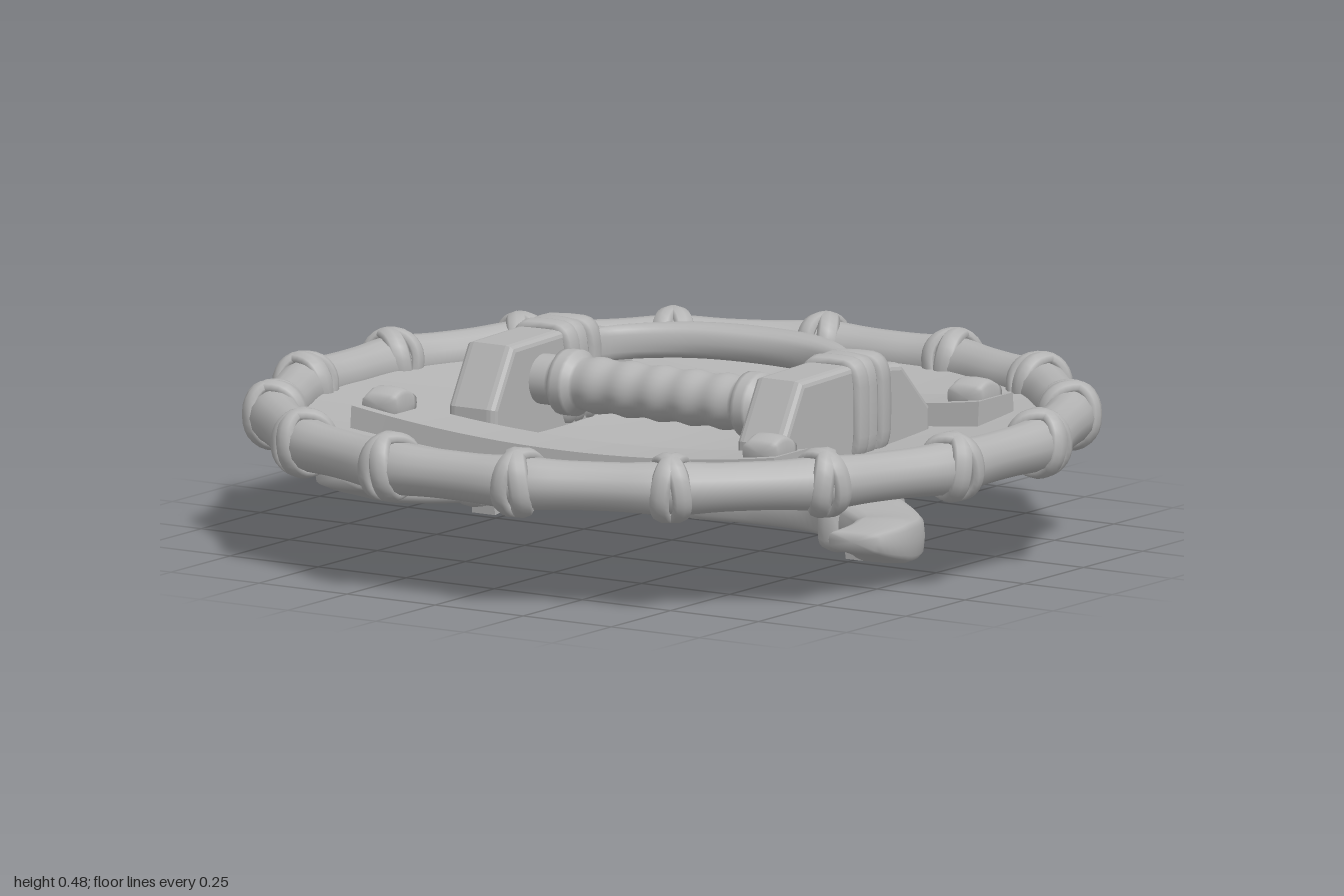
import * as THREE from 'three';
import { mergeVertices } from 'three/addons/utils/BufferGeometryUtils.js';

const grey = new THREE.MeshStandardMaterial({ color: 0xb4b4b4, side: THREE.DoubleSide });
grey.name = 'plain grey';

const V = (x, y, z) => new THREE.Vector3(x, y, z);
const pw = (v, e) => Math.sign(v) * Math.pow(Math.abs(v), e);

function add(parent, name, geometry, x = 0, y = 0, z = 0) {
  const m = new THREE.Mesh(geometry, grey);
  m.name = name;
  m.position.set(x, y, z);
  parent.add(m);
  return m;
}

// Apply fn to every vertex, optionally welding the seams for smooth normals
function warp(geo, fn, weld = true) {
  if (weld) {
    geo.deleteAttribute('uv');
    geo.deleteAttribute('normal');
  }
  const p = geo.attributes.position, v = V(0, 0, 0);
  for (let i = 0; i < p.count; i++) {
    fn(v.fromBufferAttribute(p, i));
    p.setXYZ(i, v.x, v.y, v.z);
  }
  if (weld) geo = mergeVertices(geo, 1e-4);
  geo.computeVertexNormals();
  return geo;
}

// Rounded-square section swept along a path; size(t) gives [half width, half height]
function sweep(points, size, e = 0.7, n = 32, m = 16) {
  const curve = new THREE.CatmullRomCurve3(points), pos = [], idx = [];
  for (let i = 0; i <= n + 2; i++) {
    const t = Math.min(Math.max((i - 1) / n, 0), 1);
    const cap = i === 0 || i === n + 2 ? 0 : 1;
    const c = curve.getPoint(t), T = curve.getTangent(t);
    const S = V(0, 1, 0).cross(T).normalize(), [w, h] = size(t);
    for (let j = 0; j < m; j++) {
      const a = j / m * Math.PI * 2, sw = cap * w * pw(Math.cos(a), e);
      pos.push(c.x + S.x * sw, c.y + cap * h * pw(Math.sin(a), e), c.z + S.z * sw);
      if (i < n + 2) {
        const k = (j + 1) % m, A = i * m, B = A + m;
        idx.push(A + j, A + k, B + k, A + j, B + k, B + j);
      }
    }
  }
  const g = new THREE.BufferGeometry();
  g.setAttribute('position', new THREE.Float32BufferAttribute(pos, 3));
  g.setIndex(idx);
  g.computeVertexNormals();
  return g;
}

// Closed strap around the z axis: half sizes hw, hh, strap half width w, thickness t
function band(hw, hh, w, t, e = 0.8) {
  return warp(new THREE.TorusGeometry(1, 0.3, 8, 28), v => {
    const r = Math.hypot(v.x, v.y), c = v.x / r, s = v.y / r, o = (r - 1) / 0.3 * t;
    v.set(pw(c, e) * (hw + o), pw(s, e) * (hh + o), v.z / 0.3 * w);
  });
}

export function createModel() {
  const root = new THREE.Group();
  root.name = 'roundShield';

  // Shallow inner lining
  const dish = [];
  for (let i = 0; i <= 14; i++) {
    const r = i / 14 * 0.92;
    dish.push(new THREE.Vector2(r, 0.222 + 0.09 * (r / 0.9) ** 1.5));
  }
  add(root, 'innerLining', new THREE.LatheGeometry(dish, 64));

  // Bent planks on the outer face, each tilted a little
  const edges = [-0.87, -0.7, -0.46, -0.19, 0.19, 0.46, 0.7, 0.87];
  for (let i = 0; i < 7; i++) {
    const x0 = edges[i] + 0.006, x1 = edges[i + 1] - 0.006, side = Math.sign(i - 3);
    const geo = warp(new THREE.BoxGeometry(1, 1, 1, 4, 1, 18), v => {
      const x = x0 + (x1 - x0) * (v.x + 0.5), z = 2 * v.z * Math.sqrt(0.89 ** 2 - x * x);
      const base = 0.17 + 0.1 * (x * x + z * z) / 0.81;
      v.set(x, v.y > 0 ? base + 0.034 : base + 0.025 * side * v.x, z);
    }, false);
    add(root, 'plank', geo);
  }

  // Rim of sixteen nearly straight lengths, thicker at the joints
  const N = 16, step = Math.PI * 2 / N;
  add(root, 'rim', warp(new THREE.TorusGeometry(1, 0.1, 14, 192), v => {
    const a = Math.atan2(v.y, v.x), r = Math.hypot(v.x, v.y);
    const k = Math.abs(Math.sin(a * N / 2));
    const R = 0.924 + 0.012 * k * k, tube = 0.058 + 0.006 * k ** 4;
    const rr = R + (r - 1) / 0.1 * tube;
    v.set(Math.cos(a) * rr, 0.313 - v.z / 0.1 * tube, Math.sin(a) * rr);
  }));

  // Crossed lashings over the rim joints
  const rimBand = band(0.066, 0.071, 0.026, 0.014, 0.9);
  for (let i = 0; i < N; i++) {
    const a = (i + 0.5) * step, lashing = new THREE.Group();
    lashing.name = 'rimLashing';
    lashing.position.set(Math.cos(a) * 0.936, 0.314, Math.sin(a) * 0.936);
    lashing.rotation.y = -a;
    for (const s of [-1, 1]) add(lashing, 'lashingStrap', rimBand).rotation.set(s * 0.15, s * 0.4, 0);
    root.add(lashing);
  }

  // Two cross bars with sagging middles and domed pegs
  for (const z of [-0.475, 0.39]) {
    add(root, 'crossBar', warp(new THREE.BoxGeometry(1.2, 0.07, 0.155, 20, 1, 2), v => {
      const sag = 0.045 * (1 - (v.x / 0.6) ** 2);
      if (v.y > 0) v.z *= 0.92;
      v.y += 0.31 - sag;
    }, false), 0, 0, z);
    for (const x of [-0.54, 0.54]) {
      add(root, 'barPeg', sweep([V(0, 0, -0.046), V(0, 0, 0), V(0, 0, 0.046)],
        t => [0.047, 0.022 + 0.02 * Math.sin(t * Math.PI)], 0.5, 8), x, 0.345, z);
    }
  }

  // Chamfered handle mounts with their lashings
  const profile = new THREE.Shape([[0.225, 0.235], [0.225, 0.32], [0.15, 0.45], [-0.05, 0.455],
    [-0.26, 0.43], [-0.37, 0.32], [-0.37, 0.235]].map(([z, y]) => new THREE.Vector2(-z, y)));
  const mountGeo = new THREE.ExtrudeGeometry(profile, {
    depth: 0.09, bevelEnabled: true, bevelSize: 0.016, bevelThickness: 0.022, bevelSegments: 3 });
  mountGeo.translate(0, 0, -0.045).rotateY(Math.PI / 2);
  const mountBand = band(0.074, 0.115, 0.036, 0.014, 0.5);
  for (const x of [-0.41, 0.41]) {
    add(root, 'handleMount', mountGeo, x);
    [[-0.16, 0.22], [-0.12, -0.22], [-0.08, 0.06]].forEach(([z, turn]) => {
      add(root, 'mountLashing', mountBand, x, 0.36, z).rotation.y = turn;
    });
  }

  // Ridged grip with collars
  const gripPts = [new THREE.Vector2(0, -0.36)];
  for (let i = 0; i <= 72; i++) {
    const x = -0.36 + i * 0.01, a = Math.abs(x);
    const r = a > 0.28 ? 0.06 : a > 0.23 ? 0.079 : 0.065 + 0.003 * Math.cos(x * 70);
    gripPts.push(new THREE.Vector2(r, x));
  }
  gripPts.push(new THREE.Vector2(0, 0.36));
  add(root, 'grip', new THREE.LatheGeometry(gripPts, 24), 0, 0.37, 0.035).rotation.z = Math.PI / 2;

  // Arched arm strap
  add(root, 'armStrap', sweep([V(-0.37, 0.41, -0.14), V(-0.32, 0.415, -0.25), V(-0.18, 0.42, -0.35),
    V(0, 0.42, -0.385), V(0.18, 0.42, -0.35), V(0.32, 0.415, -0.25), V(0.37, 0.41, -0.14)],
  t => [0.014 + 0.042 * Math.sin(Math.PI * t) ** 2, 0.042], 0.75));

  // Pair of curved horns on the outer face, tips rising, each held by a tie and a leaning peg
  const hornBand = band(0.115, 0.054, 0.034, 0.014, 0.5);
  for (const s of [-1, 1]) {
    add(root, 'horn', sweep([V(s * 0.005, 0.105, -0.16), V(s * 0.2, 0.105, -0.18), V(s * 0.38, 0.105, -0.15),
      V(s * 0.54, 0.105, -0.04), V(s * 0.67, 0.105, 0.08), V(s * 0.725, 0.118, 0.2), V(s * 0.73, 0.135, 0.325)],
    t => [0.125 - 0.06 * t, t > 0.8 ? 0.055 - (t - 0.8) * 0.16 : 0.055], 0.5));
    const x = s > 0 ? 0.505 : -0.555;
    add(root, 'hornTie', hornBand, x, 0.105, -0.05).rotation.y = s * 1.4;
    add(root, 'tiePeg', new THREE.BoxGeometry(0.065, 0.19, 0.1), x, 0.113, -0.07).rotation.x = 0.1;
  }
  return root;
}
